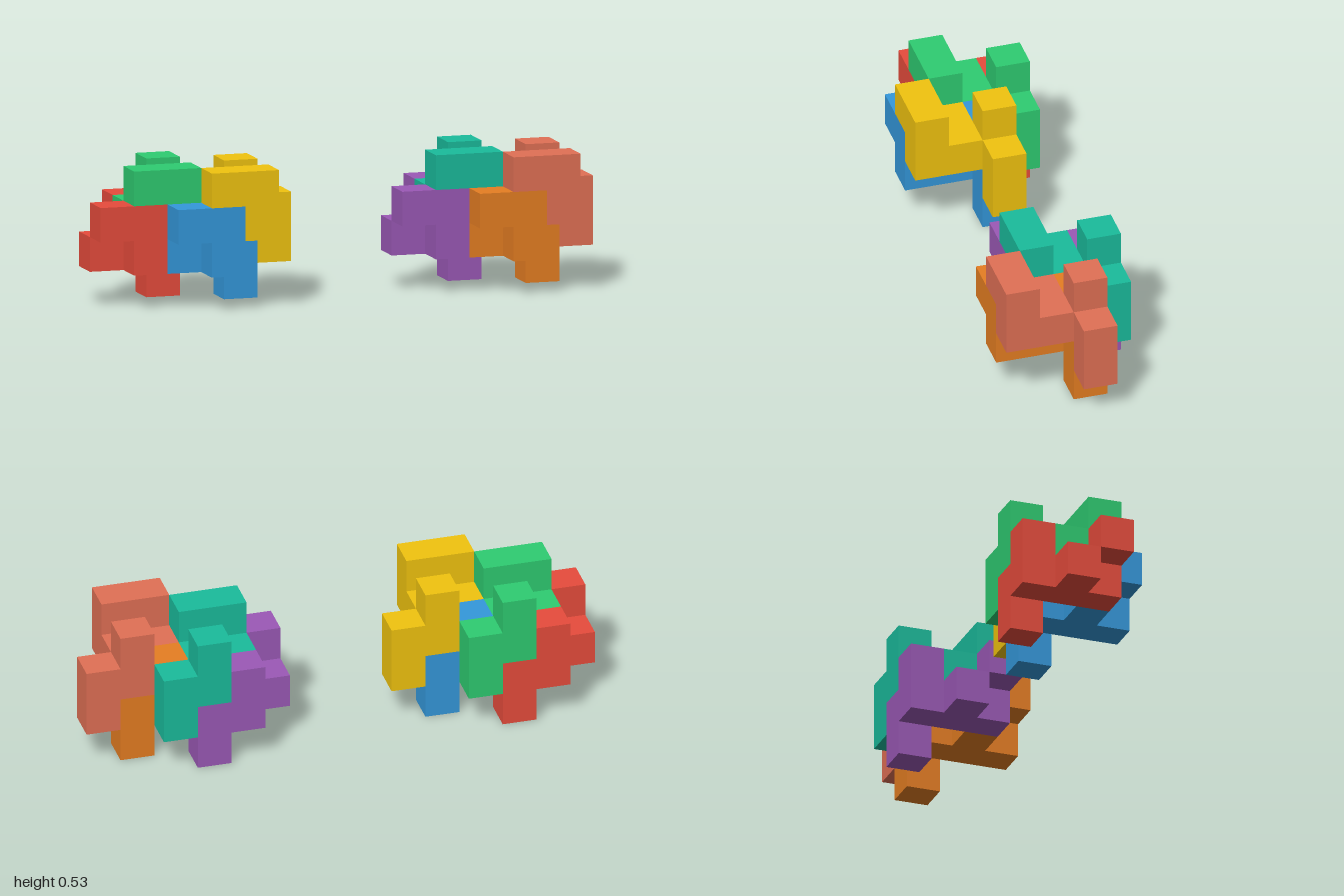
import * as THREE from 'three';
import { mergeGeometries } from 'three/addons/utils/BufferGeometryUtils.js';

const U = 2 / 15; // edge of one cube

// One puzzle piece as unit cubes [x, y, z]; all pieces share this shape
const CELLS = [
  [0, 2, 2], [1, 2, 2], [1, 1, 2],            // front hook
  [1, 1, 1], [0, 1, 1],                       // middle bar
  [1, 1, 0], [1, 2, 0], [2, 1, 0], [2, 0, 0], // back hook
];

// Positions of the four interlocking pieces, in cubes
const OFFSETS = [[0, 0, 0], [1, 1, 0], [2, 0, 1], [3, 1, 1]];

const ASSEMBLIES = [
  { name: 'rightAssembly', x: -1, colors: [0xe74c3c, 0x2ecc71, 0x3498db, 0xf1c40f] },
  { name: 'leftAssembly', x: 0.2, colors: [0x9b59b6, 0x1abc9c, 0xe67e22, 0xe17055] },
];

// Rotations that turn a +z plane toward each of the six directions
const FACES = [
  { dir: [0, 0, 1], rot: [0, 0] },
  { dir: [0, 0, -1], rot: [0, Math.PI] },
  { dir: [1, 0, 0], rot: [0, Math.PI / 2] },
  { dir: [-1, 0, 0], rot: [0, -Math.PI / 2] },
  { dir: [0, 1, 0], rot: [-Math.PI / 2, 0] },
  { dir: [0, -1, 0], rot: [Math.PI / 2, 0] },
];

// Skin of the piece: a square wherever a cube has no neighbour
function pieceGeometry() {
  const filled = new Set(CELLS.map(String));
  const squares = [];
  for (const cell of CELLS) {
    for (const { dir, rot } of FACES) {
      if (filled.has(String(cell.map((v, i) => v + dir[i])))) continue;
      const square = new THREE.PlaneGeometry(U, U).rotateX(rot[0]).rotateY(rot[1]);
      square.translate(...cell.map((v, i) => (v + 0.5 + dir[i] / 2) * U));
      squares.push(square);
    }
  }
  return mergeGeometries(squares);
}

export function createModel() {
  const model = new THREE.Group();
  model.name = 'interlockingPuzzles';
  const geometry = pieceGeometry();

  for (const { name, x, colors } of ASSEMBLIES) {
    const assembly = new THREE.Group();
    assembly.name = name;
    assembly.position.set(x, 0, -2 * U);
    OFFSETS.forEach((offset, i) => {
      const piece = new THREE.Mesh(geometry, new THREE.MeshStandardMaterial({ color: colors[i] }));
      piece.name = `puzzlePiece${i + 1}`;
      piece.position.set(...offset).multiplyScalar(U);
      assembly.add(piece);
    });
    model.add(assembly);
  }
  return model;
}
